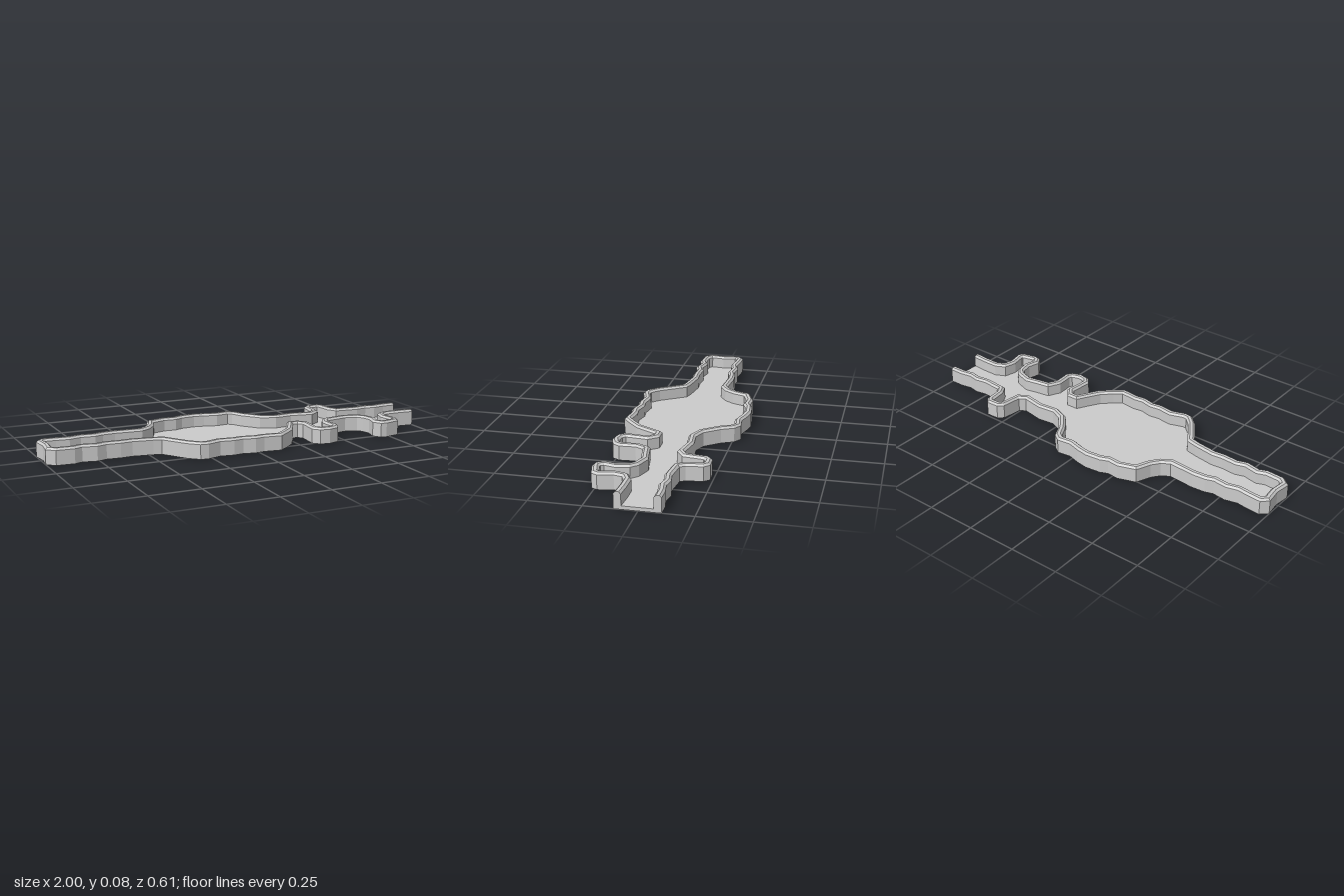
import * as THREE from 'three';

// Outline as x, z pairs: back edge runs from the open end to the closed end
const backEdge = [
  1, -0.105, 0.93, -0.105, 0.87, -0.095, 0.82, -0.105, 0.76, -0.095, 0.66, -0.105, 0.645, -0.13,
  0.635, -0.21, 0.61, -0.237, 0.545, -0.235, 0.518, -0.21, 0.505, -0.11, 0.475, -0.09,
  0.42, -0.1, 0.37, -0.11, 0.28, -0.1, 0.22, -0.125, 0.16, -0.2, 0.13, -0.26, 0.09, -0.287,
  0.02, -0.278, -0.04, -0.295, -0.1, -0.305, -0.18, -0.297, -0.22, -0.28, -0.28, -0.285,
  -0.37, -0.255, -0.4, -0.18, -0.43, -0.14, -0.47, -0.115, -0.6, -0.125, -0.67, -0.12,
  -0.71, -0.107, -0.78, -0.115, -0.84, -0.1, -0.9, -0.108, -0.965, -0.112, -1, -0.08,
];
// Front edge returns from the closed end to the open end
const frontEdge = [
  -0.99, 0, -1, 0.08, -0.96, 0.115, -0.87, 0.12, -0.83, 0.105, -0.76, 0.12, -0.71, 0.105,
  -0.64, 0.11, -0.58, 0.105, -0.48, 0.12, -0.44, 0.13, -0.4, 0.19, -0.36, 0.25, -0.31, 0.298,
  -0.27, 0.303, -0.2, 0.28, -0.13, 0.29, -0.08, 0.283, -0.02, 0.297, 0.03, 0.29, 0.12, 0.3,
  0.17, 0.26, 0.225, 0.21, 0.26, 0.15, 0.285, 0.105, 0.31, 0.105, 0.33, 0.13, 0.32, 0.24,
  0.35, 0.275, 0.4, 0.283, 0.455, 0.265, 0.475, 0.23, 0.47, 0.15, 0.49, 0.11, 0.55, 0.1,
  0.6, 0.09, 0.66, 0.11, 0.68, 0.13, 0.69, 0.18, 0.675, 0.24, 0.7, 0.28, 0.73, 0.285,
  0.81, 0.265, 0.825, 0.235, 0.81, 0.16, 0.82, 0.12, 0.85, 0.105, 0.92, 0.105, 1, 0.11,
];
const FLOOR = 0.017;
// Wall section as inset, height
const section = [[0, FLOOR], [0, 0.072], [0.01, 0.082], [0.025, 0.082], [0.035, 0.072], [0.035, FLOOR]];

function toPoints(flat) {
  const pts = [];
  for (let i = 0; i < flat.length; i += 2) pts.push(new THREE.Vector2(flat[i], flat[i + 1]));
  return pts;
}

// Mitred inward direction at each outline point; the open ends stay square
function inwardDirections(pts) {
  const edge = [];
  for (let i = 0; i < pts.length - 1; i++) {
    const d = pts[i + 1].clone().sub(pts[i]).normalize();
    edge.push(new THREE.Vector2(d.y, -d.x));
  }
  return pts.map((p, i) => {
    if (i === 0) return new THREE.Vector2(0, 1);
    if (i === pts.length - 1) return new THREE.Vector2(0, -1);
    const a = edge[i - 1], b = edge[i];
    return a.clone().add(b).divideScalar(Math.max(0.6, 1 + a.dot(b)));
  });
}

function wallGeometry(pts) {
  const dirs = inwardDirections(pts);
  const rings = pts.map((p, i) =>
    section.map(([inset, y]) => [p.x + dirs[i].x * inset, y, p.y + dirs[i].y * inset]));
  const pos = [];
  const tri = (a, b, c) => pos.push(...a, ...b, ...c);
  for (let i = 0; i < rings.length - 1; i++) {
    for (let j = 0; j < section.length - 1; j++) {
      const a = rings[i][j], b = rings[i + 1][j], c = rings[i + 1][j + 1], d = rings[i][j + 1];
      tri(a, b, c);
      tri(a, c, d);
    }
  }
  // Caps on the two cut ends
  const first = rings[0], last = rings[rings.length - 1];
  for (let k = 1; k < section.length - 1; k++) {
    tri(first[0], first[k], first[k + 1]);
    tri(last[0], last[k + 1], last[k]);
  }
  const geo = new THREE.BufferGeometry();
  geo.setAttribute('position', new THREE.Float32BufferAttribute(pos, 3));
  geo.computeVertexNormals();
  return geo;
}

export function createModel() {
  const group = new THREE.Group();
  group.name = 'tray';
  const material = new THREE.MeshStandardMaterial({ color: 0xcccccc, flatShading: true });
  const outline = [...toPoints(backEdge), ...toPoints(frontEdge)];

  // Floor plate
  const shape = new THREE.Shape(outline.map((p) => new THREE.Vector2(p.x, -p.y)));
  const floorGeo = new THREE.ExtrudeGeometry(shape, { depth: FLOOR, bevelEnabled: false });
  floorGeo.rotateX(-Math.PI / 2);
  const floor = new THREE.Mesh(floorGeo, material);
  floor.name = 'floor';

  // Chamfered rim wall, open at the right-hand end of the outline
  const wall = new THREE.Mesh(wallGeometry(outline), material);
  wall.name = 'rimWall';

  group.add(floor, wall);
  return group;
}
